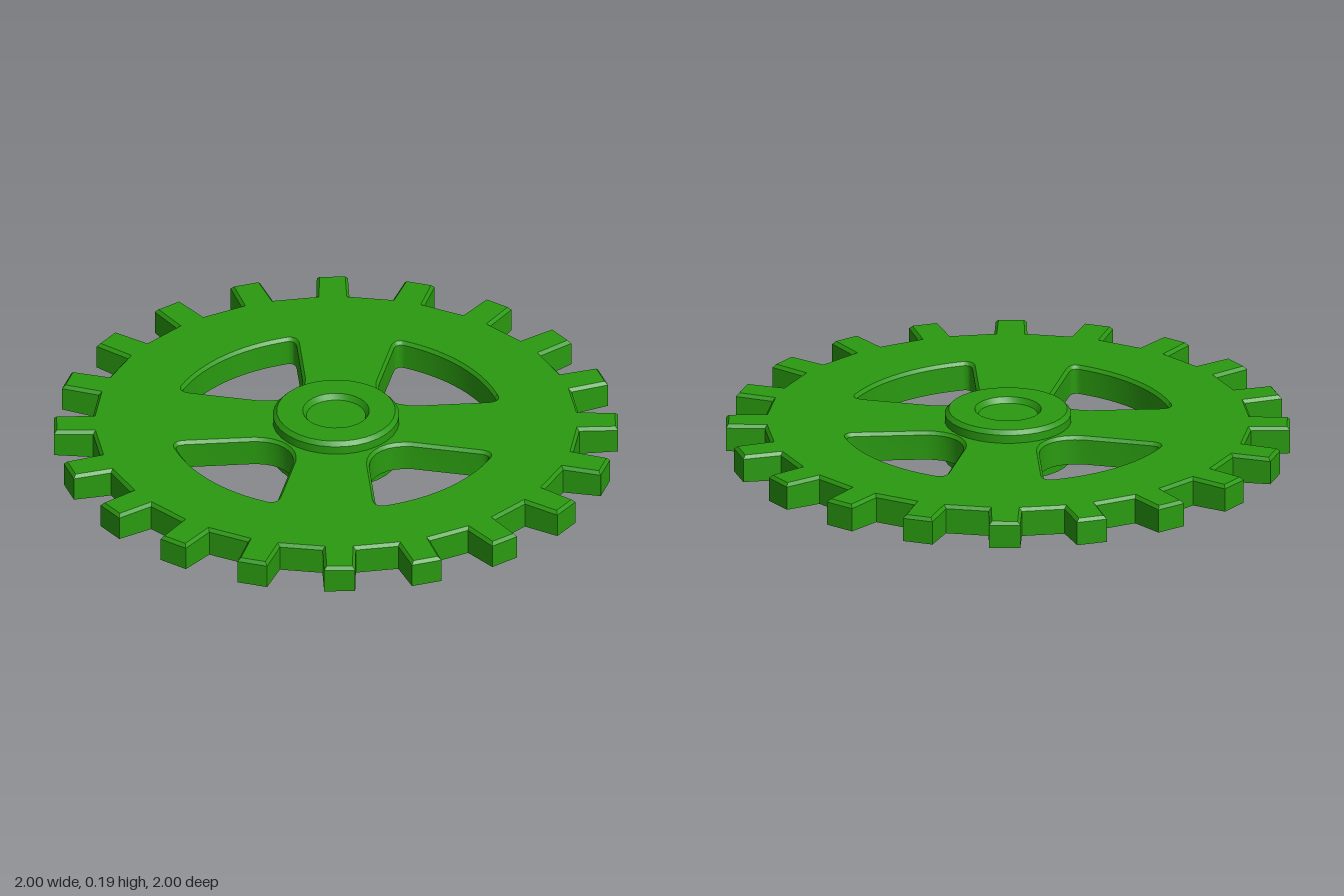
import * as THREE from 'three';
import { toCreasedNormals } from 'three/addons/utils/BufferGeometryUtils.js';

const TEETH = 20, BEVEL = 0.01, BOTTOM = 0.035, SHOULDER = 0.128, TOP = 0.14;
const material = new THREE.MeshStandardMaterial({ color: 0x2a9a10, side: THREE.DoubleSide });
const V = (x, y) => new THREE.Vector2(x, y);

// Moves a closed counter-clockwise loop inwards by d (outwards when d < 0)
function inset(loop, d) {
  const n = loop.length;
  return loop.map((p, i) => {
    const a = p.clone().sub(loop[(i + n - 1) % n]).normalize();
    const b = loop[(i + 1) % n].clone().sub(p).normalize();
    const na = V(-a.y, a.x), nb = V(-b.y, b.x);
    const m = na.clone().add(nb);
    return p.clone().addScaledVector(m, d / (1 + na.dot(nb)));
  });
}

// Upright wall along a loop, closed by a bevel up to the top face
function wall(loop, bevelled, bottomOf, outward) {
  const pos = [];
  const ring = (pts, yOf) => pts.map(p => [p.x, yOf(p), -p.y]);
  const rings = [ring(loop, bottomOf), ring(loop, () => SHOULDER), ring(bevelled, () => TOP)];
  for (let r = 0; r < 2; r++) {
    for (let i = 0; i < loop.length; i++) {
      const j = (i + 1) % loop.length;
      const a = rings[r][i], b = rings[r][j], c = rings[r + 1][j], d = rings[r + 1][i];
      pos.push(...(outward ? [a, b, c, a, c, d] : [a, c, b, a, d, c]).flat());
    }
  }
  const g = new THREE.BufferGeometry();
  g.setAttribute('position', new THREE.Float32BufferAttribute(pos, 3));
  return toCreasedNormals(g, 0.5);
}

// Outline of the toothed rim
function gearOutline() {
  const pts = [];
  for (let k = 0; k < TEETH; k++) {
    const angle = THREE.MathUtils.degToRad(4.3 + k * 360 / TEETH);
    for (const [r, s] of [[0.86, -0.059], [0.998, -0.055], [0.998, 0.055], [0.86, 0.059]]) {
      pts.push(V(r, s).rotateAround(V(0, 0), angle));
    }
  }
  return pts;
}

// Opening between two spokes, with rounded corners and an arched outer side
function openingOutline() {
  const s = new THREE.Shape();
  s.moveTo(0.28, 0.135);
  s.lineTo(0.525, 0.172);
  s.quadraticCurveTo(0.565, 0.18, 0.551, 0.212);
  const start = Math.atan2(0.212, 0.551);
  s.absarc(0, 0, 0.59, start, Math.PI / 2 - start, false);
  s.quadraticCurveTo(0.18, 0.565, 0.172, 0.525);
  s.lineTo(0.135, 0.28);
  s.bezierCurveTo(0.13, 0.19, 0.19, 0.13, 0.28, 0.135);
  const pts = s.getPoints(8);
  return pts.filter((p, i) => p.distanceTo(pts[(i + 1) % pts.length]) > 1e-4);
}

export function createModel() {
  const model = new THREE.Group();
  const add = (name, geometry) => {
    const mesh = new THREE.Mesh(geometry, material);
    mesh.name = name;
    model.add(mesh);
  };

  // Toothed outer wall, slightly raised under the tooth tips
  const outline = gearOutline();
  const outlineTop = inset(outline, BEVEL);
  add('toothedRim', wall(outline, outlineTop, p => (p.length() > 0.93 ? 0.042 : BOTTOM), true));

  // Top face with four openings and room for the hub; the underside is hollow
  const face = new THREE.Shape(outlineTop);
  face.holes.push(new THREE.Path().absarc(0, 0, 0.22, 0, Math.PI * 2, true));
  const opening = openingOutline();
  for (let k = 0; k < 4; k++) {
    const loop = opening.map(p => p.clone().rotateAround(V(0, 0), k * Math.PI / 2));
    const loopTop = inset(loop, -BEVEL);
    face.holes.push(new THREE.Path(loopTop));
    add('spokeOpening' + (k + 1), wall(loop, loopTop, () => BOTTOM, false));
  }
  const faceGeometry = new THREE.ShapeGeometry(face, 16);
  faceGeometry.rotateX(-Math.PI / 2);
  faceGeometry.translate(0, TOP, 0);
  add('spokedFace', faceGeometry);

  // Hub: hollow sleeve with bevelled top and a shallow round recess
  const profile = [[0.224, 0], [0.224, 0.17], [0.21, 0.185], [0.118, 0.185],
    [0.105, 0.165], [0, 0.165]].map(([x, y]) => V(x, y));
  add('hub', toCreasedNormals(new THREE.LatheGeometry(profile, 32), 0.5));

  return model;
}
